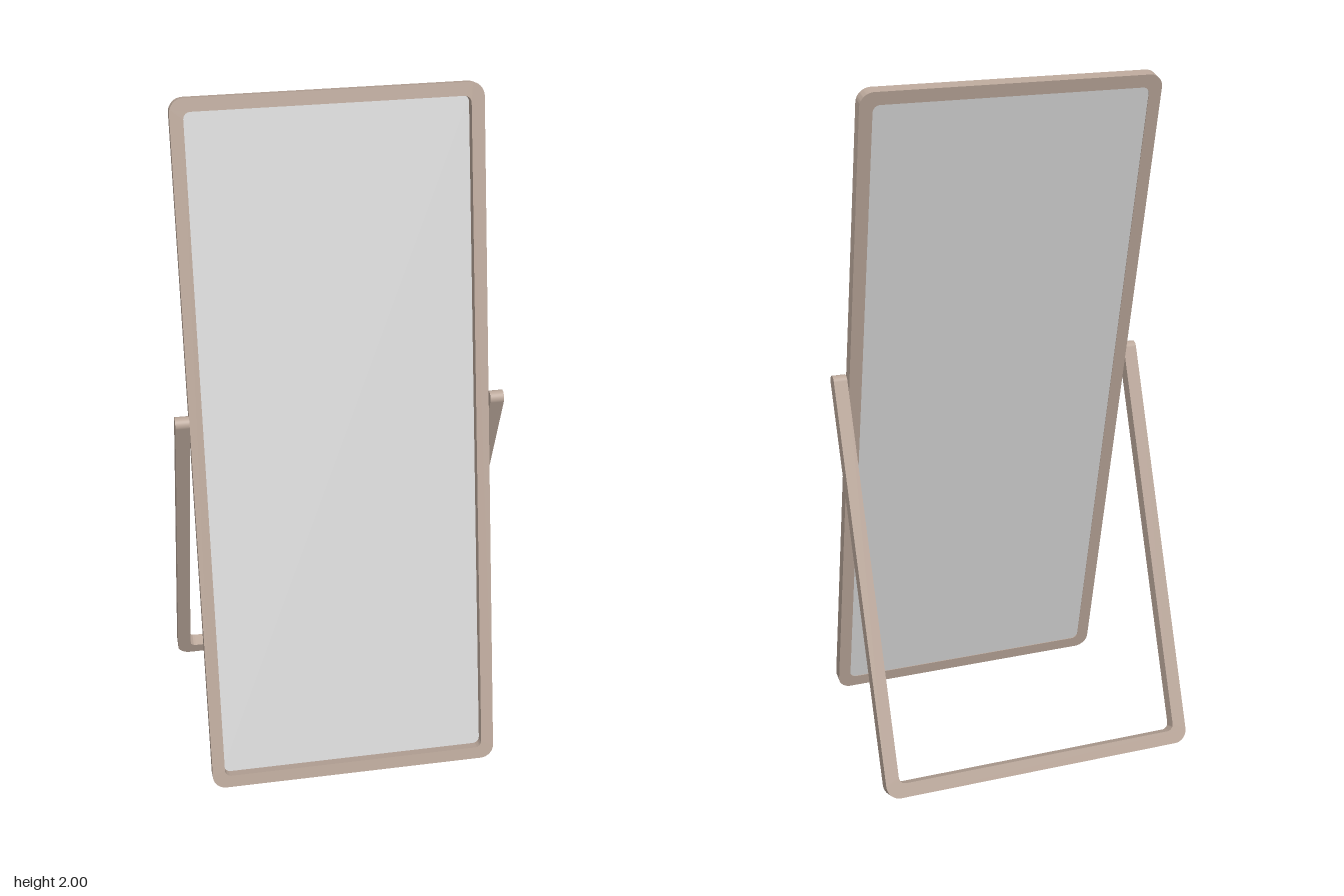
import * as THREE from 'three';
import { toCreasedNormals } from 'three/addons/utils/BufferGeometryUtils.js';

// Traces a rounded rectangle centred on the origin
function roundedRect(path, w, h, r) {
  const x = w / 2, y = h / 2;
  path.moveTo(x, -y + r);
  path.lineTo(x, y - r);
  path.absarc(x - r, y - r, r, 0, Math.PI / 2);
  path.lineTo(-x + r, y);
  path.absarc(-x + r, y - r, r, Math.PI / 2, Math.PI);
  path.lineTo(-x, -y + r);
  path.absarc(-x + r, -y + r, r, Math.PI, Math.PI * 1.5);
  path.lineTo(x - r, -y);
  path.absarc(x - r, -y + r, r, Math.PI * 1.5, Math.PI * 2);
  return path;
}

// Extrudes a shape between two depths, with smooth corners and sharp edges
function slab(shape, back, depth) {
  const geo = new THREE.ExtrudeGeometry(shape, { depth, bevelEnabled: false, curveSegments: 8 });
  geo.translate(0, 0, back);
  return toCreasedNormals(geo, Math.PI / 6);
}

function addMesh(parent, name, geometry, material) {
  const mesh = new THREE.Mesh(geometry, material);
  mesh.name = name;
  parent.add(mesh);
  return mesh;
}

export function createModel() {
  const model = new THREE.Group();
  model.name = 'standingMirror';
  const wood = new THREE.MeshStandardMaterial({ color: 0xb9a699 });
  wood.name = 'pale wood';
  const silver = new THREE.MeshStandardMaterial({ color: 0xd6d6d6 });
  silver.name = 'mirror silver';

  // Tilted mirror: frame with a deep front recess and a thin panel near the back
  const W = 0.862, H = 2.044, T = 0.036, border = 0.037;
  const mirror = new THREE.Group();
  mirror.name = 'mirror';
  mirror.position.set(0, 1, 0.117);
  mirror.rotation.x = THREE.MathUtils.degToRad(-13);
  model.add(mirror);

  const innerW = W - 2 * border, innerH = H - 2 * border;
  const frameShape = roundedRect(new THREE.Shape(), W, H, 0.04);
  frameShape.holes.push(roundedRect(new THREE.Path(), innerW, innerH, 0.02));
  addMesh(mirror, 'mirrorFrame', slab(frameShape, -T / 2, T), wood);

  const panelShape = roundedRect(new THREE.Shape(), innerW + 0.004, innerH + 0.004, 0.02);
  addMesh(mirror, 'mirrorPanel', slab(panelShape, -T / 2 + 0.002, 0.004), silver);

  // U-shaped stand leaning forward against the frame sides
  const inX = W / 2 + 0.001, bar = 0.04, outX = inX + bar, legH = 1.206;
  const R = 0.04, r = 0.02;
  const stand = new THREE.Group();
  stand.name = 'stand';
  stand.position.set(0, 0.0075, -0.348);
  stand.rotation.x = THREE.MathUtils.degToRad(22.06);
  model.add(stand);

  const u = new THREE.Shape();
  u.moveTo(-outX, legH);
  u.lineTo(-outX, R);
  u.absarc(-outX + R, R, R, Math.PI, Math.PI * 1.5);
  u.lineTo(outX - R, 0);
  u.absarc(outX - R, R, R, Math.PI * 1.5, Math.PI * 2);
  u.lineTo(outX, legH);
  u.lineTo(inX, legH);
  u.lineTo(inX, bar + r);
  u.absarc(inX - r, bar + r, r, 0, -Math.PI / 2, true);
  u.lineTo(-inX + r, bar);
  u.absarc(-inX + r, bar + r, r, -Math.PI / 2, -Math.PI, true);
  u.lineTo(-inX, legH);
  addMesh(stand, 'standLegs', slab(u, -bar / 2, bar), wood);

  // Rounded upper ends of the legs
  for (const side of [-1, 1]) {
    const cap = new THREE.CylinderGeometry(bar / 2, bar / 2, bar, 16, 1, false, 0, Math.PI);
    cap.rotateZ(Math.PI / 2);
    const name = side > 0 ? 'leftLegEnd' : 'rightLegEnd';
    addMesh(stand, name, cap, wood).position.set(side * (inX + bar / 2), legH, 0);
  }

  return model;
}
